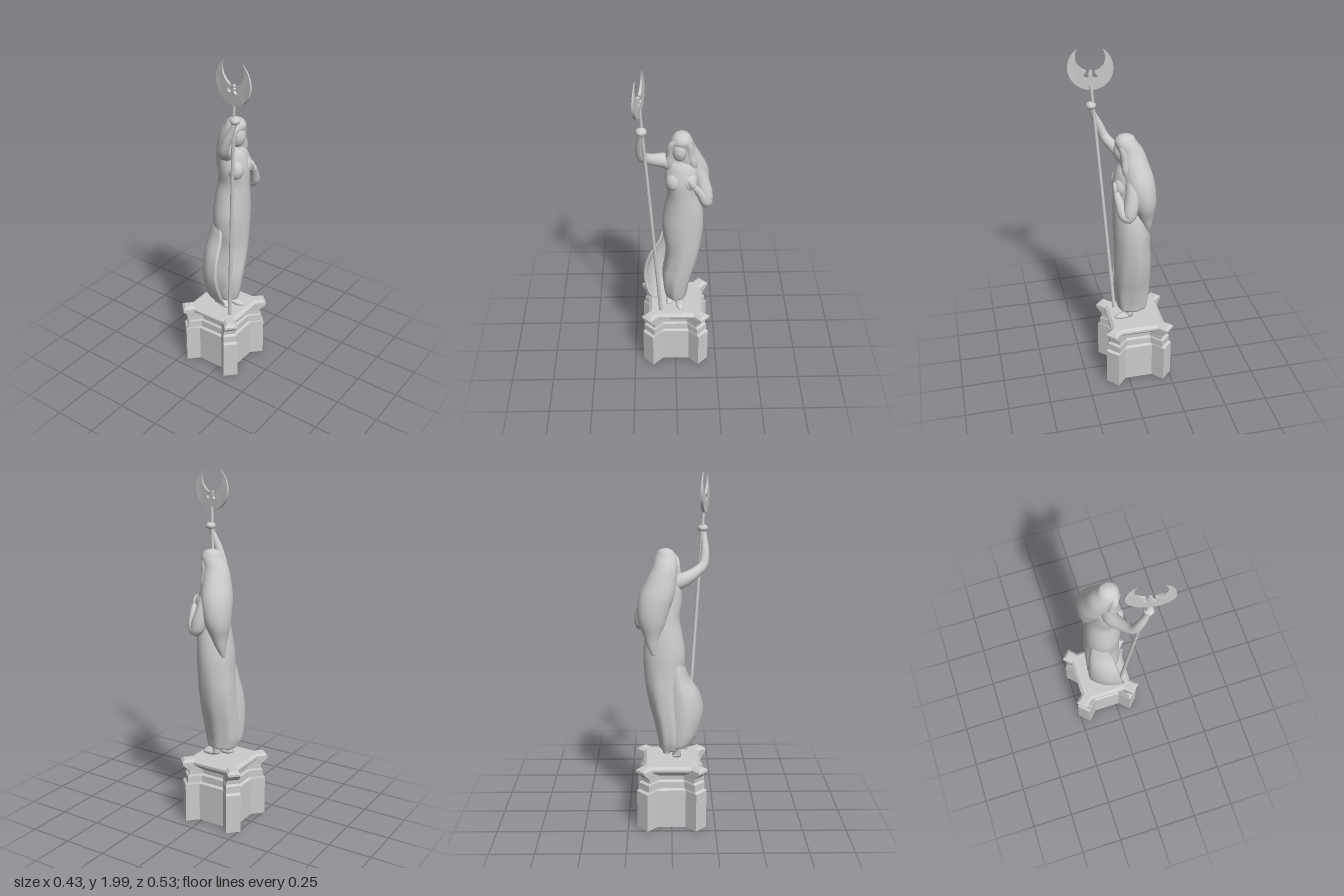
import * as THREE from 'three';

const V = (x, y, z) => new THREE.Vector3(x, y, z);
const smooth = new THREE.MeshStandardMaterial({ color: 0xcccccc });
const flat = new THREE.MeshStandardMaterial({ color: 0xcccccc, flatShading: true });
const hollow = new THREE.MeshStandardMaterial({ color: 0xcccccc, flatShading: true, side: THREE.DoubleSide });

function add(parent, name, geometry, material = smooth) {
  const mesh = new THREE.Mesh(geometry, material);
  mesh.name = name;
  parent.add(mesh);
  return mesh;
}

// Skin over a stack of equal rings, listed from the bottom up; the top is capped, the bottom optionally
function skin(rings, capBottom = true) {
  const centre = r => r.reduce((s, p) => s.add(p), V(0, 0, 0)).divideScalar(r.length);
  const cap = r => { const c = centre(r); return r.map(() => c); };
  const all = [cap(rings[0]), ...rings, cap(rings[rings.length - 1])];
  const n = rings[0].length, index = [];
  for (let i = capBottom ? 0 : 1; i < all.length - 1; i++) {
    for (let j = 0; j < n; j++) {
      const a = i * n + j, b = i * n + (j + 1) % n;
      if (i > 0) index.push(a, a + n, b);
      if (i < all.length - 2) index.push(b, a + n, b + n);
    }
  }
  const geo = new THREE.BufferGeometry().setFromPoints(all.flat());
  geo.setIndex(index);
  geo.computeVertexNormals();
  return geo;
}

// Rows [y, centre x, centre z, radius x, radius z] from the bottom up, splined into a rounded solid
function loft(rows, steps, ripple = () => 0, n = 48) {
  const spine = new THREE.CatmullRomCurve3(rows.map(r => V(r[1], r[0], r[2])), false, 'catmullrom');
  const size = new THREE.CatmullRomCurve3(rows.map(r => V(r[3], 0, r[4])), false, 'catmullrom');
  const rings = [];
  for (let i = 0; i <= steps; i++) {
    const c = spine.getPoint(i / steps), s = size.getPoint(i / steps), ring = [];
    for (let j = 0; j < n; j++) {
      const a = j / n * Math.PI * 2, k = 1 + ripple(a, c.y);
      ring.push(V(c.x + Math.cos(a) * s.x * k, c.y, c.z + Math.sin(a) * s.z * k));
    }
    rings.push(ring);
  }
  return skin(rings);
}

// Tapered limb along a curve; each entry is [x, y, z, radius]
function limb(points, steps = 28, n = 18) {
  const curve = new THREE.CatmullRomCurve3(points.map(p => V(p[0], p[1], p[2])));
  const radii = new THREE.CatmullRomCurve3(points.map(p => V(p[3], 0, 0)), false, 'catmullrom');
  const f = curve.computeFrenetFrames(steps, false), rings = [];
  for (let i = 0; i <= steps; i++) {
    const t = i / steps, c = curve.getPointAt(t), r = radii.getPoint(curve.getUtoTmapping(t)).x;
    rings.push(Array.from({ length: n }, (_, j) => {
      const a = j / n * Math.PI * 2;
      return c.clone().addScaledVector(f.normals[i], Math.cos(a) * r).addScaledVector(f.binormals[i], -Math.sin(a) * r);
    }));
  }
  return skin(rings);
}

function ball(parent, name, p, r, rotation = [0, 0, 0]) {
  const m = add(parent, name, new THREE.SphereGeometry(1, 28, 20));
  m.position.set(...p);
  m.scale.set(...r);
  m.rotation.set(...rotation);
}

function createPedestal() {
  // square plan with a diagonal arm at each corner, open below: [y, wall, tip, arm width]
  const profile = [
    [0, 0.14, 0.198, 0.06], [0.23, 0.14, 0.198, 0.06], [0.24, 0.128, 0.186, 0.056],
    [0.28, 0.128, 0.186, 0.056], [0.29, 0.118, 0.174, 0.05], [0.315, 0.12, 0.176, 0.05],
    [0.345, 0.155, 0.2, 0.052], [0.352, 0.16, 0.204, 0.052], [0.366, 0.16, 0.204, 0.052],
    [0.38, 0.143, 0.182, 0.03],
  ];
  const rings = profile.map(([y, w, t, d]) => {
    const ring = [];
    for (let q = 0; q < 4; q++) {
      for (const [u, v] of [[w, w - d], [t, t - d], [t - d, t], [w - d, w]]) {
        const [x, z] = [[u, v], [-v, u], [-u, -v], [v, -u]][q];
        ring.push(V(x, y, z - 0.0625));
      }
    }
    return ring;
  });
  return skin(rings, false);
}

// Sheet of the gown sweeping out behind the right leg: [y, left edge x, left edge z, back z]
function createTrain() {
  const rows = [
    [0.46, -0.125, 0.025, -0.14], [0.49, -0.152, 0.038, -0.148], [0.55, -0.177, 0.035, -0.152],
    [0.65, -0.188, 0.015, -0.152], [0.76, -0.16, 0, -0.145], [0.85, -0.105, -0.015, -0.134],
    [0.92, -0.078, -0.03, -0.122], [1.02, -0.045, -0.04, -0.095],
  ];
  const edge = new THREE.CatmullRomCurve3(rows.map(r => V(r[1], r[0], r[2])), false, 'catmullrom');
  const back = new THREE.CatmullRomCurve3(rows.map(r => V(r[3], 0, 0)), false, 'catmullrom');
  const rings = [];
  for (let i = 0; i <= 32; i++) {
    const e = edge.getPoint(i / 32), zb = back.getPoint(i / 32).x;
    const arc = new THREE.CatmullRomCurve3([
      e, V(e.x * 0.83, e.y, e.z * 0.4 + zb * 0.6), V(e.x * 0.42, e.y, zb), V(0.035, e.y, zb + 0.03),
    ]).getPoints(18);
    const inner = arc.map((p, k) => V(p.x + 0.012, p.y, p.z + (k ? 0.012 : 0.004))).reverse();
    rings.push([...arc, ...inner]);
  }
  return skin(rings);
}

function createStaff() {
  const staff = new THREE.Group();
  staff.name = 'staff';
  const foot = V(-0.088, 0.38, 0.042), top = V(-0.181, 1.79, 0.138);
  const axis = top.clone().sub(foot);
  const pole = add(staff, 'pole', new THREE.CylinderGeometry(0.009, 0.011, axis.length(), 14));
  pole.position.copy(foot).addScaledVector(axis, 0.5);
  pole.quaternion.setFromUnitVectors(V(0, 1, 0), axis.normalize());

  // crescent between two arcs, pierced below a small bud, thinning towards the tips
  const moon = new THREE.Shape();
  moon.absarc(0, 0, 0.122, 1.0, Math.PI - 1.0, true);
  moon.absarc(0, 0.059, 0.0792, Math.PI - 0.586, Math.PI * 1.5 - 0.3, false);
  moon.absarc(-0.023, -0.044, 0.014, Math.PI * 0.6, Math.PI * 2.2, false);
  moon.lineTo(-0.004, -0.03);
  moon.absarc(0, -0.022, 0.009, Math.PI * 1.25, -Math.PI * 0.25, true);
  moon.lineTo(0.004, -0.03);
  moon.absarc(0.023, -0.044, 0.014, Math.PI * 0.8, Math.PI * 2.4, false);
  moon.absarc(0, 0.059, 0.0792, Math.PI * 1.5 + 0.3, Math.PI * 2 + 0.586, false);
  const blade = new THREE.ExtrudeGeometry(moon, { depth: 0.016, curveSegments: 32, bevelEnabled: false });
  blade.translate(0, 0, -0.008);
  const p = blade.attributes.position;
  for (let i = 0; i < p.count; i++) {
    p.setZ(i, p.getZ(i) * (1 - 0.75 * THREE.MathUtils.smoothstep(p.getY(i), -0.06, 0.11)));
  }
  blade.computeVertexNormals();
  const head = add(staff, 'crescent', blade, flat);
  head.position.set(-0.187, 1.888, 0.139);
  head.rotation.y = -Math.PI / 2 - 0.2;
  return staff;
}

export function createModel() {
  const model = new THREE.Group();
  model.name = 'statue';
  add(model, 'pedestal', createPedestal(), hollow);

  const figure = new THREE.Group();
  figure.name = 'figure';
  model.add(figure);

  // gown and torso, with soft folds fading towards the hips
  const folds = (a, y) => 0.035 * Math.max(0, 1 - Math.max(0, y - 0.5) / 0.5) * Math.sin(7 * a + y * 4);
  add(figure, 'gown', loft([
    [0.44, 0.005, -0.05, 0.064, 0.083], [0.5, 0.003, -0.05, 0.074, 0.097], [0.6, 0.01, -0.045, 0.088, 0.104],
    [0.7, 0.03, -0.042, 0.094, 0.105], [0.8, 0.043, -0.04, 0.1, 0.105], [0.9, 0.042, -0.036, 0.113, 0.103],
    [1.0, 0.041, -0.033, 0.118, 0.103], [1.1, 0.043, -0.028, 0.106, 0.098], [1.2, 0.04, -0.02, 0.086, 0.09],
    [1.3, 0.035, -0.012, 0.094, 0.083], [1.38, 0.035, -0.018, 0.085, 0.07], [1.425, 0.03, -0.02, 0.052, 0.048],
    [1.48, 0.025, -0.01, 0.03, 0.034],
  ], 72, folds));
  add(figure, 'train', createTrain());
  for (const x of [-0.008, 0.072]) ball(figure, 'bust', [x, 1.3, 0.024], [0.048, 0.06, 0.05]);

  // head and long hair falling over the left shoulder
  ball(figure, 'face', [0.022, 1.492, 0.012], [0.043, 0.068, 0.05]);
  ball(figure, 'nose', [0.02, 1.488, 0.056], [0.007, 0.016, 0.009]);
  add(figure, 'hair', loft([
    [1.01, 0.1, -0.115, 0.01, 0.01], [1.06, 0.105, -0.107, 0.03, 0.026], [1.12, 0.106, -0.096, 0.05, 0.044],
    [1.19, 0.106, -0.086, 0.076, 0.067], [1.26, 0.099, -0.075, 0.09, 0.08], [1.34, 0.08, -0.062, 0.097, 0.085],
    [1.42, 0.056, -0.047, 0.085, 0.077], [1.49, 0.037, -0.03, 0.069, 0.069], [1.545, 0.032, -0.003, 0.058, 0.06],
    [1.578, 0.033, -0.001, 0.037, 0.042], [1.59, 0.033, -0.002, 0.008, 0.01],
  ], 60));
  for (const [side, dx] of [[-0.02, -0.014], [0.066, 0.03]]) {
    add(figure, 'hairLock', limb([
      [0.025, 1.56, 0.034, 0.016], [side, 1.525, 0.022, 0.02], [side + dx * 0.4, 1.46, 0.006, 0.026],
      [side + dx, 1.4, 0.004, 0.026], [side + dx * 1.3, 1.35, -0.005, 0.012],
    ]));
  }

  // raised right arm gripping the staff
  add(figure, 'rightArm', limb([
    [0.01, 1.38, -0.015, 0.044], [-0.06, 1.412, -0.01, 0.041], [-0.13, 1.445, 0.03, 0.031], [-0.178, 1.485, 0.068, 0.027],
    [-0.189, 1.56, 0.1, 0.023], [-0.185, 1.63, 0.13, 0.016], [-0.18, 1.67, 0.145, 0.015],
  ], 40));
  ball(figure, 'rightHand', [-0.177, 1.678, 0.142], [0.029, 0.022, 0.028]);

  // folded left arm with the hand on the chest
  add(figure, 'leftArm', limb([
    [0.1, 1.37, -0.02, 0.036], [0.135, 1.3, -0.02, 0.04], [0.163, 1.21, -0.002, 0.041], [0.17, 1.16, 0.014, 0.036],
    [0.162, 1.175, 0.038, 0.03], [0.135, 1.235, 0.054, 0.024], [0.105, 1.285, 0.066, 0.017],
  ], 44));
  ball(figure, 'leftHand', [0.09, 1.305, 0.07], [0.018, 0.034, 0.012], [0, 0, 0.5]);

  // bare feet below the hem
  for (const [x, z, turn] of [[-0.03, -0.055, -0.2], [0.027, 0, 0.05]]) {
    add(figure, 'ankle', limb([[x, 0.395, z - 0.025, 0.024], [x, 0.44, z - 0.03, 0.023], [x, 0.5, z - 0.035, 0.03]], 10));
    ball(figure, 'foot', [x, 0.396, z + 0.005], [0.025, 0.018, 0.058], [0.1, turn, 0]);
  }

  model.add(createStaff());
  return model;
}
